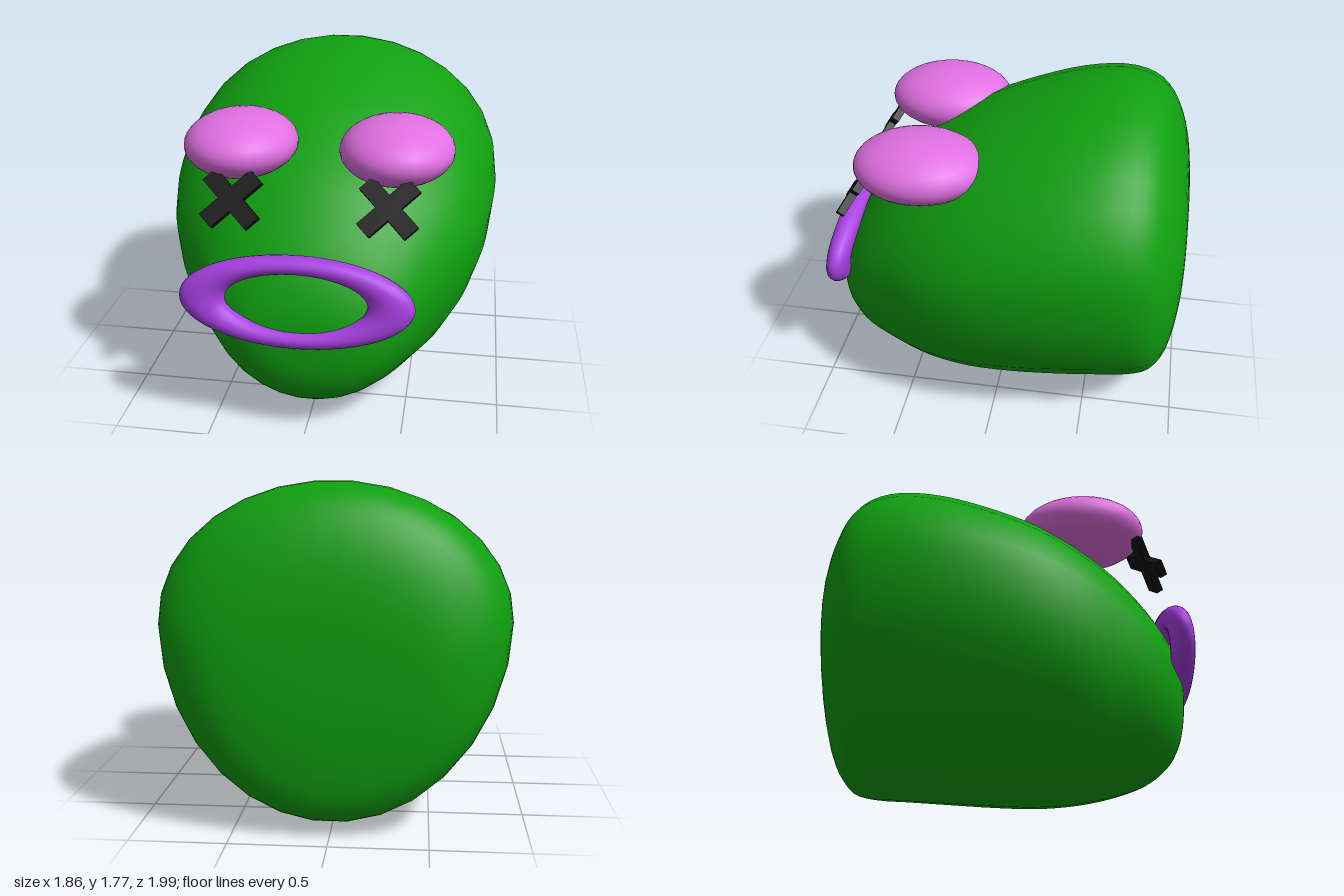
import * as THREE from 'three';
import { mergeVertices } from 'three/addons/utils/BufferGeometryUtils.js';

const green = new THREE.MeshStandardMaterial({ name: 'skin green', color: 0x10a010 });
const pink = new THREE.MeshStandardMaterial({ name: 'eyelid pink', color: 0xe070e2 });
const purple = new THREE.MeshStandardMaterial({ name: 'lip purple', color: 0xa840e2 });
const black = new THREE.MeshStandardMaterial({ name: 'eye black', color: 0x111111 });

// Head stations, back to front: z, bottom y, top y, half width
const STATIONS = [
  [-1, 0.8, 0.8, 0], [-0.995, 0.62, 1.06, 0.33], [-0.98, 0.43, 1.27, 0.53],
  [-0.94, 0.2, 1.48, 0.67], [-0.86, 0.085, 1.65, 0.8], [-0.75, 0.055, 1.745, 0.872],
  [-0.58, 0.045, 1.777, 0.912], [-0.35, 0.03, 1.742, 0.93], [-0.1, 0.013, 1.66, 0.918],
  [0.15, 0.003, 1.555, 0.875], [0.38, 0.018, 1.415, 0.79], [0.58, 0.055, 1.265, 0.665],
  [0.75, 0.115, 1.075, 0.54], [0.86, 0.2, 0.91, 0.42], [0.92, 0.29, 0.78, 0.31],
  [0.95, 0.4, 0.66, 0.17], [0.957, 0.53, 0.53, 0],
];

function headGeometry(sides = 30, perStation = 3) {
  const heights = new THREE.CatmullRomCurve3(
    STATIONS.map(([z, b, t]) => new THREE.Vector3(z, b, t)), false, 'catmullrom', 0.5);
  const widths = new THREE.CatmullRomCurve3(
    STATIONS.map(([z, , , w]) => new THREE.Vector3(z, w, 0)), false, 'catmullrom', 0.5);
  const rings = (STATIONS.length - 1) * perStation;
  const pos = [], index = [];
  for (let i = 0; i <= rings; i++) {
    const { x: z, y: bottom, z: top } = heights.getPoint(i / rings);
    const w = widths.getPoint(i / rings).y;
    // egg section: widest above the middle
    const mid = bottom + (top - bottom) * 0.585;
    for (let j = 0; j < sides; j++) {
      const a = (j / sides) * Math.PI * 2;
      const s = Math.sin(a);
      pos.push(w * Math.cos(a), mid + s * (s > 0 ? top - mid : mid - bottom), z);
      if (i === rings) continue;
      const k = (j + 1) % sides;
      const p = i * sides + j, q = i * sides + k;
      index.push(p, q, q + sides, p, q + sides, p + sides);
    }
  }
  let g = new THREE.BufferGeometry();
  g.setAttribute('position', new THREE.Float32BufferAttribute(pos, 3));
  g.setIndex(index);
  g = mergeVertices(g, 1e-5);
  g.computeVertexNormals();
  return g;
}

function part(name, geometry, material, parent) {
  const m = new THREE.Mesh(geometry, material);
  m.name = name;
  parent.add(m);
  return m;
}

export function createModel() {
  const model = new THREE.Group();
  model.name = 'head';
  part('skull', headGeometry(), green, model);

  // Puffy eyelids
  const lid = new THREE.SphereGeometry(1, 32, 20);
  for (const side of [-1, 1]) {
    const m = part(side > 0 ? 'leftEyelid' : 'rightEyelid', lid, pink, model);
    m.scale.set(0.295, 0.165, 0.345);
    m.position.set(side * 0.406, 1.436, 0.41);
  }

  // Crossed-bar eyes, leaning back with the face
  const bar = new THREE.BoxGeometry(0.335, 0.09, 0.042);
  for (const [name, x] of [['leftEye', 0.4], ['rightEye', -0.38]]) {
    const eye = new THREE.Group();
    eye.name = name;
    for (const turn of [-1, 1]) {
      part('eyeBar', bar, black, eye).rotation.z = turn * Math.PI / 4;
    }
    eye.position.set(x, 1.255, 0.765);
    eye.rotation.x = -0.58;
    model.add(eye);
  }

  // Wide oval lips
  const lips = part('lips', new THREE.TorusGeometry(0.4775, 0.1175, 20, 56), purple, model);
  lips.scale.set(1, 0.405, 0.54);
  lips.position.set(-0.04, 0.78, 0.902);
  lips.rotation.x = -0.15;
  return model;
}
